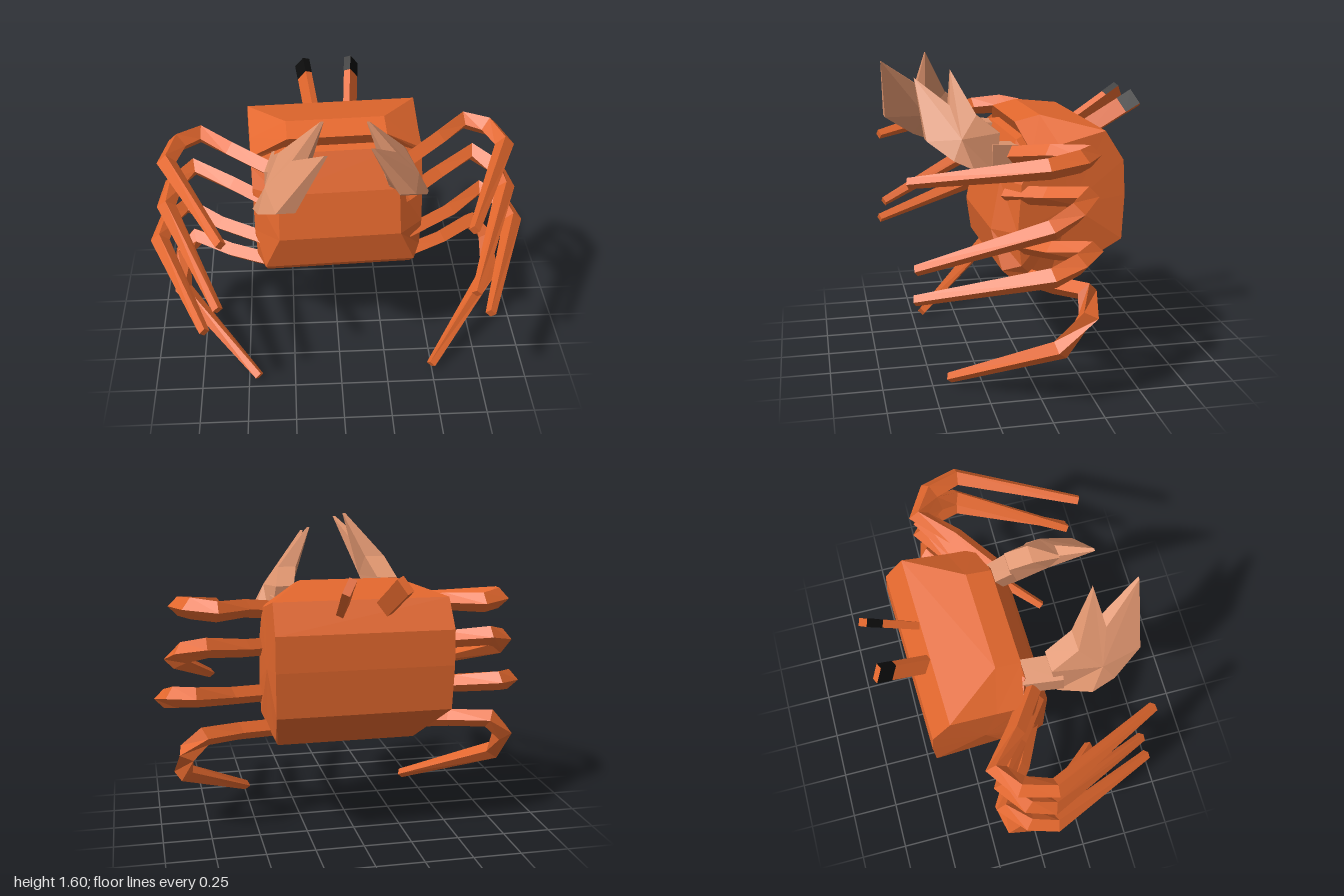
import * as THREE from 'three';

const V = (p) => new THREE.Vector3(p[0], p[1], p[2]);

// Collects faces given as corner loops (counter-clockwise from outside)
function faceGeometry(faces) {
  const pos = [];
  for (const f of faces) {
    for (let i = 1; i < f.length - 1; i++) {
      const [a, b, c] = [f[0], f[i], f[i + 1]].map(V);
      const area = b.clone().sub(a).cross(c.clone().sub(a)).length();
      if (area > 1e-7) for (const p of [a, b, c]) pos.push(p.x, p.y, p.z);
    }
  }
  const g = new THREE.BufferGeometry();
  g.setAttribute('position', new THREE.Float32BufferAttribute(pos, 3));
  g.computeVertexNormals();
  return g;
}

// Four-sided limb that follows a path, with one thickness per point
const SQUARE = [[1, 1], [-1, 1], [-1, -1], [1, -1]];
const DIAMOND = [[1, 0], [0, 1], [-1, 0], [0, -1]];

function limbGeometry(path, sizes, section) {
  const pts = path.map(V), up = new THREE.Vector3(0, 1, 0);
  const dir = (i, j) => pts[j].clone().sub(pts[i]).normalize();
  const last = pts.length - 1;
  const rings = pts.map((p, i) => {
    const t = new THREE.Vector3();
    if (i > 0) t.add(dir(i - 1, i));
    if (i < last) t.add(dir(i, i + 1));
    t.normalize();
    const side = up.clone().cross(t).normalize();
    const top = t.clone().cross(side);
    const h = sizes[i] / 2;
    return section.map(([s, u]) =>
      p.clone().addScaledVector(side, s * h).addScaledVector(top, u * h).toArray());
  });
  const faces = [[...rings[0]].reverse(), rings[last]];
  for (let i = 0; i < last; i++) {
    for (let k = 0; k < 4; k++) {
      const n = (k + 1) % 4;
      faces.push([rings[i][k], rings[i][n], rings[i + 1][n], rings[i + 1][k]]);
    }
  }
  return faceGeometry(faces);
}

// Body rows from the top over the front and belly to the back:
// half width, y, z of the main strip, then the same for the side rim
function bodyGeometry() {
  const rows = [
    [0.255, 1.31, -0.09, 0.445, 1.19, -0.14],
    [0.255, 1.28, 0.04, 0.445, 1.16, 0.0],
    [0.27, 1.21, 0.0, 0.445, 1.13, -0.01],
    [0.31, 1.2, 0.045, 0.445, 1.1, 0.0],
    [0.315, 1.0, 0.13, 0.445, 1.0, 0.05],
    [0.32, 0.75, 0.18, 0.445, 0.75, 0.07],
    [0.4, 0.55, 0.14, 0.44, 0.58, 0.05],
    [0.39, 0.465, 0.05, 0.42, 0.53, 0.0],
    [0.375, 0.43, -0.08, 0.39, 0.46, -0.1],
    [0.45, 0.69, -0.47, 0.45, 0.69, -0.47],
    [0.455, 0.92, -0.48, 0.455, 0.92, -0.48],
    [0.455, 1.1, -0.47, 0.455, 1.1, -0.47],
    [0.45, 1.25, -0.375, 0.45, 1.25, -0.375],
  ];
  const faces = [];
  rows.forEach((a, i) => {
    const b = rows[(i + 1) % rows.length];
    faces.push([[a[0], a[1], a[2]], [-a[0], a[1], a[2]], [-b[0], b[1], b[2]], [b[0], b[1], b[2]]]);
    for (const s of [1, -1]) {
      const m = (r, k) => [s * r[k], r[k + 1], r[k + 2]];
      const chamfer = [m(a, 0), m(b, 0), m(b, 3), m(a, 3)];
      const cap = [m(a, 3), m(b, 3), [s * 0.45, 0.88, -0.2]];
      for (const f of [chamfer, cap]) faces.push(s > 0 ? f : f.reverse());
    }
  });
  return faceGeometry(faces);
}

// Pincer outline: z, y, centre x, half thickness; the last row is the
// thick middle from which both flanks fan out
const PINCER = [
  [0.66, 1.56, -0.1, 0.008], [0.63, 1.24, -0.29, 0.045], [0.48, 1.14, -0.345, 0.075],
  [0.36, 1.09, -0.365, 0.08], [0.2, 1.04, -0.305, 0.065], [0.17, 1.27, -0.285, 0.055],
  [0.31, 1.37, -0.25, 0.055], [0.43, 1.6, -0.1, 0.008], [0.465, 1.42, -0.21, 0.035],
  [0.42, 1.25, -0.285, 0.095],
];

function pincerGeometry(rows) {
  const at = (p, s) => [p[2] + s * p[3], p[1], p[0]];
  const outline = rows.slice(0, -1), mid = rows[rows.length - 1];
  return faceGeometry(outline.flatMap((a, i) => {
    const b = outline[(i + 1) % outline.length];
    return [
      [at(a, 1), at(a, -1), at(b, -1), at(b, 1)],
      [at(a, 1), at(b, 1), at(mid, 1)],
      [at(b, -1), at(a, -1), at(mid, -1)],
    ];
  }));
}

// Left-side legs from top to bottom
const LEGS = [
  [[0.35, 1.13, 0.07], [0.54, 1.17, -0.07], [0.7, 1.185, -0.22], [0.82, 1.19, -0.13], [0.87, 1.175, 0.03], [0.6, 1.08, 0.63]],
  [[0.34, 0.93, 0.1], [0.54, 0.96, -0.06], [0.75, 1.0, -0.195], [0.86, 0.96, -0.1], [0.9, 0.9, 0.02], [0.645, 0.67, 0.61]],
  [[0.36, 0.68, 0.08], [0.62, 0.71, -0.06], [0.81, 0.75, -0.2], [0.91, 0.73, -0.1], [0.955, 0.69, 0.03], [0.72, 0.55, 0.63]],
  [[0.36, 0.5, 0.02], [0.58, 0.52, -0.07], [0.77, 0.54, -0.19], [0.86, 0.45, -0.17], [0.87, 0.3, -0.03], [0.47, 0.03, 0.43]],
];

export function createModel() {
  const mat = (name, color) => {
    const m = new THREE.MeshStandardMaterial({ color, flatShading: true });
    m.name = name;
    return m;
  };
  const shell = mat('shell orange', 0xe2672d);
  const pale = mat('claw salmon', 0xde946e);
  const black = mat('eye black', 0x0c0c0c);

  const model = new THREE.Group();
  model.name = 'crab';
  const crab = new THREE.Group();
  crab.name = 'tiltedCrab';
  crab.rotation.set(0, 0.035, 0.01);
  crab.position.x = 0.01;
  model.add(crab);
  const add = (name, geometry, material, parent = crab) => {
    const mesh = new THREE.Mesh(geometry, material);
    mesh.name = name;
    parent.add(mesh);
  };

  add('body', bodyGeometry(), shell);

  for (const s of [1, -1]) {
    const side = s > 0 ? 'left' : 'right';
    // Legs
    LEGS.forEach((path, i) => {
      const pts = path.map(([x, y, z]) => [s * x, y, z]);
      add(`${side}Leg${i + 1}`, limbGeometry(pts, [0.095, 0.095, 0.105, 0.11, 0.1, 0.054], DIAMOND), shell);
    });
    // Flat eye stalk, its broad outer side turned upward, dark on the
    // outer side and upper edge at its end
    const eye = new THREE.Group();
    eye.name = `${side}Eye`;
    eye.position.set(s * 0.105, 1.2, -0.385);
    eye.lookAt(s * 0.135, 1.355, -0.635);
    eye.rotateZ(-s * 0.45);
    crab.add(eye);
    add(`${side}EyeStalk`, new THREE.BoxGeometry(0.038, 0.088, 0.27).translate(0, 0, 0.09), shell, eye);
    const sides = [shell, shell, black, shell, shell, shell];
    sides[s > 0 ? 1 : 0] = black; // the eye group faces backwards
    add(`${side}EyeTip`, new THREE.BoxGeometry(0.04, 0.09, 0.085).translate(0, 0, 0.26), sides, eye);
  }

  // Claws: the right one is larger
  add('rightClawArm', limbGeometry([[-0.265, 1.12, -0.02], [-0.31, 1.14, 0.24]], [0.13, 0.14], SQUARE), pale);
  add('rightPincer', pincerGeometry(PINCER), pale);
  add('leftClawArm', limbGeometry([[0.27, 1.12, -0.02], [0.31, 1.13, 0.19]], [0.1, 0.12], SQUARE), pale);
  const small = PINCER.map(([z, y, x, t]) => [z * 0.79, 1.05 + (y - 1.05) * 0.88, 0.03 - x * 0.92, t * 0.88]);
  add('leftPincer', pincerGeometry(small), pale);
  return model;
}
